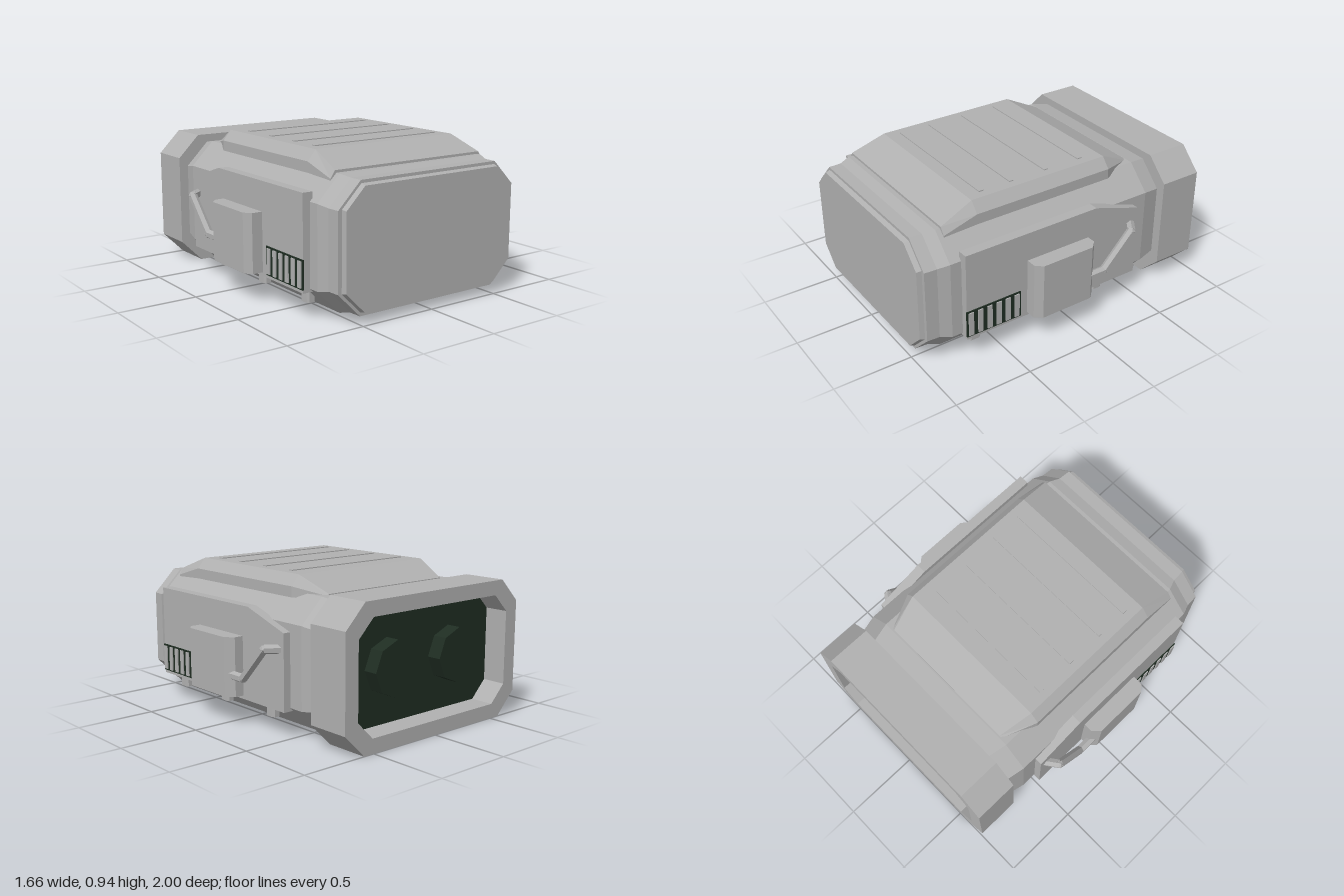
import * as THREE from 'three';

const casing = new THREE.MeshStandardMaterial({ color: 0xb0b0b0 });
const darkGlass = new THREE.MeshStandardMaterial({ color: 0x1f2d22 });

// Chamfered rectangle, counter-clockwise
const octagon = (w, y0, y1, c) => [
  [w - c, y0], [w, y0 + c], [w, y1 - c], [w - c, y1],
  [c - w, y1], [-w, y1 - c], [-w, y0 + c], [c - w, y0],
];
const shapeOf = (pts) => new THREE.Shape(pts.map(([x, y]) => new THREE.Vector2(x, y)));
const extrude = (shape, depth) => new THREE.ExtrudeGeometry(shape, { depth, bevelEnabled: false });

// Flat-faced geometry from a list of corner positions
function flat(positions) {
  const geo = new THREE.BufferGeometry();
  geo.setAttribute('position', new THREE.Float32BufferAttribute(positions, 3));
  geo.computeVertexNormals();
  return geo;
}

// Solid through matching cross-sections, listed from front to back
function loft(sections) {
  const out = [];
  const n = sections[0].pts.length;
  const put = (s, i) => out.push(...s.pts[i % n], s.z);
  for (let k = 0; k < sections.length - 1; k++) {
    const a = sections[k], b = sections[k + 1];
    for (let i = 0; i < n; i++) {
      put(b, i); put(b, i + 1); put(a, i + 1);
      put(b, i); put(a, i + 1); put(a, i);
    }
  }
  const first = sections[0], last = sections[sections.length - 1];
  for (let i = 1; i < n - 1; i++) {
    put(first, 0); put(first, i); put(first, i + 1);
    put(last, 0); put(last, i + 1); put(last, i);
  }
  return flat(out);
}

// Copy reflected in x, with corner order restored
function mirrored(geo) {
  const g = geo.index ? geo.toNonIndexed() : geo;
  const p = g.attributes.position, out = [];
  for (let i = 0; i < p.count; i += 3) {
    for (const j of [i, i + 2, i + 1]) out.push(-p.getX(j), p.getY(j), p.getZ(j));
  }
  return flat(out);
}

// Six-sided rod between two points
function rod(a, b, r) {
  const dir = b.clone().sub(a);
  const geo = new THREE.CylinderGeometry(r, r, dir.length(), 6).toNonIndexed();
  geo.computeVertexNormals();
  geo.applyQuaternion(new THREE.Quaternion().setFromUnitVectors(new THREE.Vector3(0, 1, 0), dir.normalize()));
  const mid = a.clone().add(b).multiplyScalar(0.5);
  return geo.translate(mid.x, mid.y, mid.z);
}

export function createModel() {
  const model = new THREE.Group();
  model.name = 'opticalHousing';
  const add = (name, geo, mat = casing) => {
    const mesh = new THREE.Mesh(geo, mat);
    mesh.name = name;
    model.add(mesh);
  };
  const addPair = (name, geo, mat) => {
    add(name + 'Left', geo, mat);
    add(name + 'Right', mirrored(geo), mat);
  };

  // Main body and front cover
  const ring = (z, w, y0, y1, c = 0.15) => ({ z, pts: octagon(w, y0, y1, c) });
  add('body', loft([
    ring(0.97, 0.65, 0.05, 0.815), ring(0.89, 0.655, 0.05, 0.815),
    ring(0.82, 0.68, 0.035, 0.83), ring(-0.6, 0.68, 0.035, 0.83),
    ring(-0.72, 0.655, 0.05, 0.81),
  ]));
  add('frontCover', loft([
    ring(1, 0.617, 0.08, 0.788, 0.125), ring(0.96, 0.628, 0.068, 0.8, 0.13),
  ]));

  // Raised roof with sloped ends and cross ribs
  const roof = (z, w, base, side, topW, top) => ({
    z, pts: [[w, base], [w, side], [topW, top], [-topW, top], [-w, side], [-w, base]],
  });
  add('roof', loft([
    roof(0.79, 0.57, 0.79, 0.8, 0.54, 0.845), roof(0.57, 0.57, 0.8, 0.865, 0.515, 0.93),
    roof(-0.38, 0.57, 0.8, 0.865, 0.515, 0.93), roof(-0.59, 0.48, 0.8, 0.825, 0.465, 0.835),
  ]));
  for (const z of [0.47, 0.26, 0.01, -0.24]) {
    add('roofRib', new THREE.BoxGeometry(0.92, 0.014, 0.03).translate(0, 0.929, z));
  }

  // Rear hood with recessed eyepieces
  const hood = shapeOf(octagon(0.715, 0, 0.86, 0.143));
  hood.holes.push(shapeOf(octagon(0.62, 0.09, 0.77, 0.11)));
  add('rearHood', extrude(hood, 0.28).translate(0, 0, -1));
  add('rearGlass', extrude(shapeOf(octagon(0.63, 0.08, 0.78, 0.11)), 0.008).translate(0, 0, -0.848));
  const eyepiece = new THREE.CylinderGeometry(0.17, 0.17, 0.1, 8).toNonIndexed();
  eyepiece.computeVertexNormals();
  addPair('eyepiece', eyepiece.rotateX(Math.PI / 2).translate(0.26, 0.43, -0.89), darkGlass);
  model.getObjectByName('rearGlass').material = darkGlass;

  // Side panels, profile in (-z, y)
  const panel = shapeOf([[-0.75, 0.165], [0.5, 0.165], [0.5, 0.63], [0.17, 0.735], [-0.75, 0.735]]);
  addPair('sidePanel', extrude(panel, 0.065).rotateY(Math.PI / 2).translate(0.662, 0, 0));

  // Side pods, profile in (x, -z)
  const pod = shapeOf([[0.7, -0.33], [0.795, -0.33], [0.83, -0.285], [0.83, 0.068], [0.785, 0.115], [0.7, 0.115]]);
  addPair('sidePod', extrude(pod, 0.365).rotateX(-Math.PI / 2).translate(0, 0.187, 0));

  // Vents: dark backing with upright slats
  addPair('ventBacking', new THREE.BoxGeometry(0.009, 0.175, 0.375).translate(0.7285, 0.272, 0.5655), darkGlass);
  for (let i = 0; i < 6; i++) {
    addPair('ventSlat', new THREE.BoxGeometry(0.014, 0.155, 0.033).translate(0.733, 0.272, 0.726 - 0.0635 * i));
  }

  // Bent handles with faceted joints
  const path = [[0.79, 0.32, -0.08], [0.79, 0.32, -0.2], [0.79, 0.53, -0.4], [0.7, 0.53, -0.465]]
    .map((p) => new THREE.Vector3(...p));
  for (let i = 0; i < 3; i++) {
    addPair('handle', rod(path[i], path[i + 1], 0.028));
    if (i > 0) addPair('handleJoint', new THREE.IcosahedronGeometry(0.029, 0).translate(...path[i].toArray()));
  }

  // Small pegs below the side panels
  const peg = shapeOf(octagon(0.028, -0.038, 0.038, 0.012));
  for (const z of [0.65, 0.19, -0.27]) {
    addPair('lowerPeg', extrude(peg, 0.11).rotateX(-Math.PI / 2).translate(0.625, 0.078, z));
  }
  return model;
}
